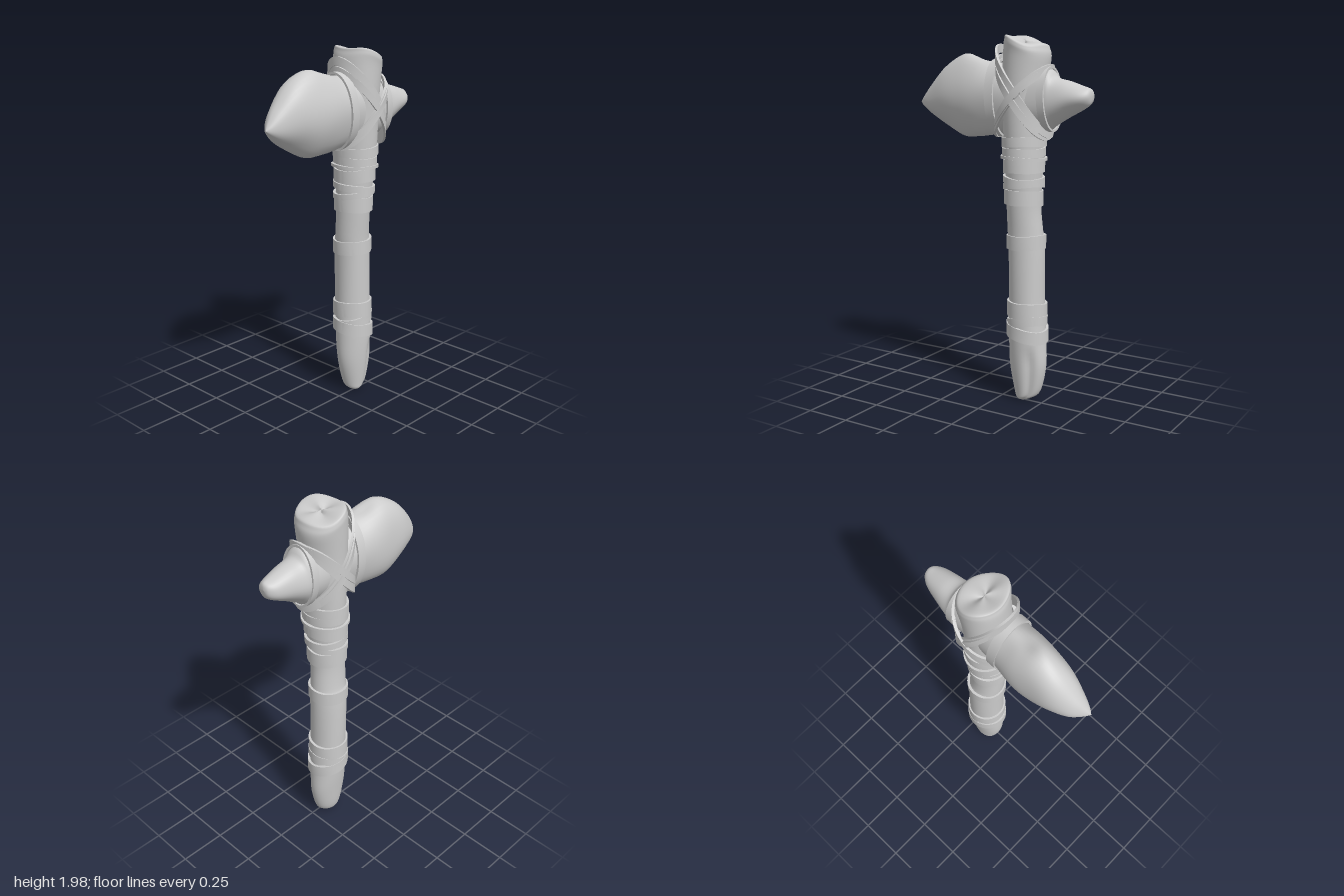
import * as THREE from 'three';
import { toCreasedNormals } from 'three/addons/utils/BufferGeometryUtils.js';

const material = new THREE.MeshStandardMaterial({ color: 0xcccccc });
const TAU = Math.PI * 2;

// Handle sections going up: y, x min, x max, z min, z max
const handleKeys = [
  [0.005, 0.01, 0.01, -0.13, -0.13],
  [0.02, -0.05, 0.035, -0.18, -0.095],
  [0.06, -0.085, 0.045, -0.225, -0.075],
  [0.2, -0.105, 0.06, -0.255, -0.045],
  [0.35, -0.12, 0.068, -0.25, -0.04],
  [0.55, -0.128, 0.07, -0.238, -0.042],
  [0.86, -0.128, 0.07, -0.235, -0.038],
  [0.95, -0.113, 0.07, -0.228, -0.033],
  [1.1, -0.105, 0.082, -0.218, -0.032],
  [1.3, -0.115, 0.1, -0.228, -0.03],
  [1.45, -0.125, 0.117, -0.235, -0.028],
  [1.7, -0.128, 0.125, -0.25, -0.02],
  [1.88, -0.138, 0.13, -0.27, -0.025],
  [1.94, -0.138, 0.135, -0.262, -0.035],
  [1.962, -0.115, 0.115, -0.24, -0.05],
  [1.95, 0, 0, -0.14, -0.14],
];

// Stone sections from the blade tip to the rear spike: z, x min, x max, y min, y max
const stoneKeys = [
  [0.53, 0.01, 0.01, 1.63, 1.63],
  [0.505, -0.025, 0.03, 1.6, 1.665],
  [0.45, -0.075, 0.055, 1.555, 1.735],
  [0.35, -0.118, 0.085, 1.5, 1.84],
  [0.24, -0.135, 0.105, 1.448, 1.895],
  [0.14, -0.14, 0.118, 1.45, 1.885],
  [0.03, -0.125, 0.118, 1.465, 1.85],
  [-0.12, -0.11, 0.11, 1.48, 1.83],
  [-0.28, -0.103, 0.098, 1.5, 1.82],
  [-0.33, -0.097, 0.092, 1.53, 1.775],
  [-0.4, -0.085, 0.08, 1.57, 1.757],
  [-0.48, -0.065, 0.062, 1.61, 1.73],
  [-0.52, -0.038, 0.033, 1.64, 1.715],
  [-0.53, -0.01, -0.01, 1.685, 1.685],
];

// Smooth in-between sections through a list of keys
function smoothRows(keys, steps) {
  const rows = [];
  const last = keys.length - 1;
  for (let i = 0; i < last; i++) {
    const [p, a, b, n] = [-1, 0, 1, 2].map((o) => keys[THREE.MathUtils.clamp(i + o, 0, last)]);
    for (let s = 0; s < steps; s++) {
      const t = s / steps;
      rows.push(a.map((v, k) => v + 0.5 * t * (b[k] - p[k]
        + t * (2 * p[k] - 5 * v + 4 * b[k] - n[k] + t * (3 * (v - b[k]) + n[k] - p[k])))));
    }
  }
  rows.push(keys[last]);
  return rows;
}

// Skin between rows of points; columns wrap around, rows wrap when closed
function loft(rows, closed = false) {
  const m = rows[0].length;
  const index = [];
  const count = closed ? rows.length : rows.length - 1;
  for (let i = 0; i < count; i++) {
    for (let j = 0; j < m; j++) {
      const a = i * m + j, b = i * m + (j + 1) % m;
      const next = ((i + 1) % rows.length) * m;
      const c = next + j, d = next + (j + 1) % m;
      index.push(a, c, b, b, c, d);
    }
  }
  const geometry = new THREE.BufferGeometry().setFromPoints(rows.flat());
  geometry.setIndex(index);
  geometry.computeVertexNormals();
  return geometry;
}

function addMesh(group, geometry, name) {
  const mesh = new THREE.Mesh(geometry, material);
  mesh.name = name;
  group.add(mesh);
}

const angles = (n) => Array.from({ length: n }, (_, j) => (j / n) * TAU);

function handleGeometry() {
  const rows = smoothRows(handleKeys, 5).map(([y, x0, x1, z0, z1]) => angles(40).map((t) => {
    // carved groove near the butt, gentle lumps elsewhere
    const low = 1 - THREE.MathUtils.smoothstep(y, 0.22, 0.36);
    const groove = 0.2 * low * Math.exp(-(((t - 5.75) / 0.28) ** 2));
    const r = 1 - groove + 0.015 * Math.sin(3 * t + y * 7);
    const dz = (z1 - z0) / 2 * Math.sin(t) * r;
    // top end is cut on a slant, higher at the front
    const slant = THREE.MathUtils.smoothstep(y, 1.8, 1.95) * (0.27 * dz + 0.008 * Math.sin(3 * t));
    return new THREE.Vector3((x0 + x1) / 2 + (x1 - x0) / 2 * Math.cos(t) * r, y + slant, (z0 + z1) / 2 + dz);
  }));
  return loft(rows);
}

function stoneGeometry() {
  const rows = smoothRows(stoneKeys, 5).map(([z, x0, x1, y0, y1]) => angles(40).map((t) => {
    const c = Math.cos(t), s = Math.sin(t);
    // chipped faces: shallow waves, and a hollow along the top of the blade
    const r = 1 + 0.018 * Math.sin(5 * t + z * 9) + 0.012 * Math.sin(3 * t - z * 17);
    const hollow = 0.025 * Math.exp(-(((z - 0.13) / 0.07) ** 2) - ((t - 1.57) / 0.35) ** 2);
    return new THREE.Vector3(
      (x0 + x1) / 2 + (x1 - x0) / 2 * c * Math.abs(c) ** 0.12 * r,
      (y0 + y1) / 2 + (y1 - y0) / 2 * s * r - hollow, z);
  }));
  return loft(rows);
}

// Flat strap following a closed path; path(t) gives position, out(t) its outward direction
function strapGeometry(path, out, width, thickness) {
  const rows = angles(56).map((t) => {
    const p = path(t);
    const tangent = path(t + 0.01).sub(path(t - 0.01)).normalize();
    const n = out(t);
    n.addScaledVector(tangent, -n.dot(tangent)).normalize();
    const b = tangent.cross(n);
    return [[1, 1], [1, -1], [-1, -1], [-1, 1]].map(([u, v]) => p.clone()
      .addScaledVector(n, u * thickness / 2).addScaledVector(b, v * width / 2));
  });
  return toCreasedNormals(loft(rows, true), 0.7);
}

// Strap around the upright handle, tilted front to back and side to side
function handleStrap(cx, cz, rx, rz, y, tiltZ, tiltX, width, thickness, wobble = 0) {
  return strapGeometry(
    (t) => new THREE.Vector3(cx + rx * Math.cos(t),
      y + tiltZ * Math.sin(t) + tiltX * Math.cos(t) + wobble * Math.sin(3 * t + y * 20), cz + rz * Math.sin(t)),
    (t) => new THREE.Vector3(Math.cos(t) / rx, 0, Math.sin(t) / rz), width, thickness);
}

function sectionAt(y) {
  const i = handleKeys.findIndex((k) => k[0] > y);
  const a = handleKeys[i - 1], b = handleKeys[i];
  return a.map((v, k) => THREE.MathUtils.lerp(v, b[k], (y - a[0]) / (b[0] - a[0])));
}

export function createModel() {
  const group = new THREE.Group();
  group.name = 'stoneAxe';
  addMesh(group, handleGeometry(), 'handle');
  addMesh(group, stoneGeometry(), 'stoneHead');

  // Grip wraps: y, tilt z, tilt x, width, gap from handle
  const wraps = new THREE.Group();
  wraps.name = 'gripWraps';
  [
    [0.4, 0.022, -0.008, 0.07, 0.008], [0.45, -0.018, 0.012, 0.05, 0.004],
    [0.52, 0.004, 0.006, 0.085, 0.004], [0.895, -0.004, 0.002, 0.075, 0.003],
    [1.14, 0.004, 0.003, 0.08, 0.004], [1.2, -0.012, 0.01, 0.03, 0.008],
    [1.235, 0.01, -0.008, 0.035, 0.007], [1.305, -0.004, 0.004, 0.07, 0.004],
    [1.35, 0.006, 0.004, 0.016, 0.014], [1.385, 0.003, -0.004, 0.045, 0.004],
    [1.435, -0.004, 0.004, 0.05, 0.005],
  ].forEach(([y, tiltZ, tiltX, width, gap]) => {
    const [, x0, x1, z0, z1] = sectionAt(y);
    addMesh(wraps, handleStrap((x0 + x1) / 2, (z0 + z1) / 2, (x1 - x0) / 2 + gap, (z1 - z0) / 2 + gap,
      y, tiltZ, tiltX, width, 0.014, 0.002), 'gripWrap');
  });
  group.add(wraps);

  // Crossed lashings over the head: x radius, z radius, y, tilt z, tilt x, width
  const lashings = new THREE.Group();
  lashings.name = 'headLashings';
  [
    [0.148, 0.148, 1.7, 0.215, 0.01, 0.045],
    [0.158, 0.142, 1.67, 0.2, -0.01, 0.035],
    [0.152, 0.152, 1.645, -0.17, 0.012, 0.045],
    [0.16, 0.15, 1.665, -0.15, -0.01, 0.035],
  ].forEach(([rx, rz, y, tiltZ, tiltX, width]) => addMesh(lashings,
    handleStrap(0, -0.135, rx, rz, y, tiltZ, tiltX, width, 0.012, 0.006), 'crossLashing'));

  // Collars around the stone in front of and behind the handle: z, x radius, y radius, y, width
  [[0.01, 0.125, 0.2, 1.66, 0.05], [-0.285, 0.104, 0.162, 1.66, 0.04]].forEach(([z, rx, ry, y, width]) => addMesh(
    lashings,
    strapGeometry(
      (t) => new THREE.Vector3(rx * Math.cos(t), y + ry * Math.sin(t), z + 0.008 * Math.sin(t)),
      (t) => new THREE.Vector3(Math.cos(t) / rx, Math.sin(t) / ry, 0), width, 0.012),
    'stoneCollar'));
  group.add(lashings);
  return group;
}
